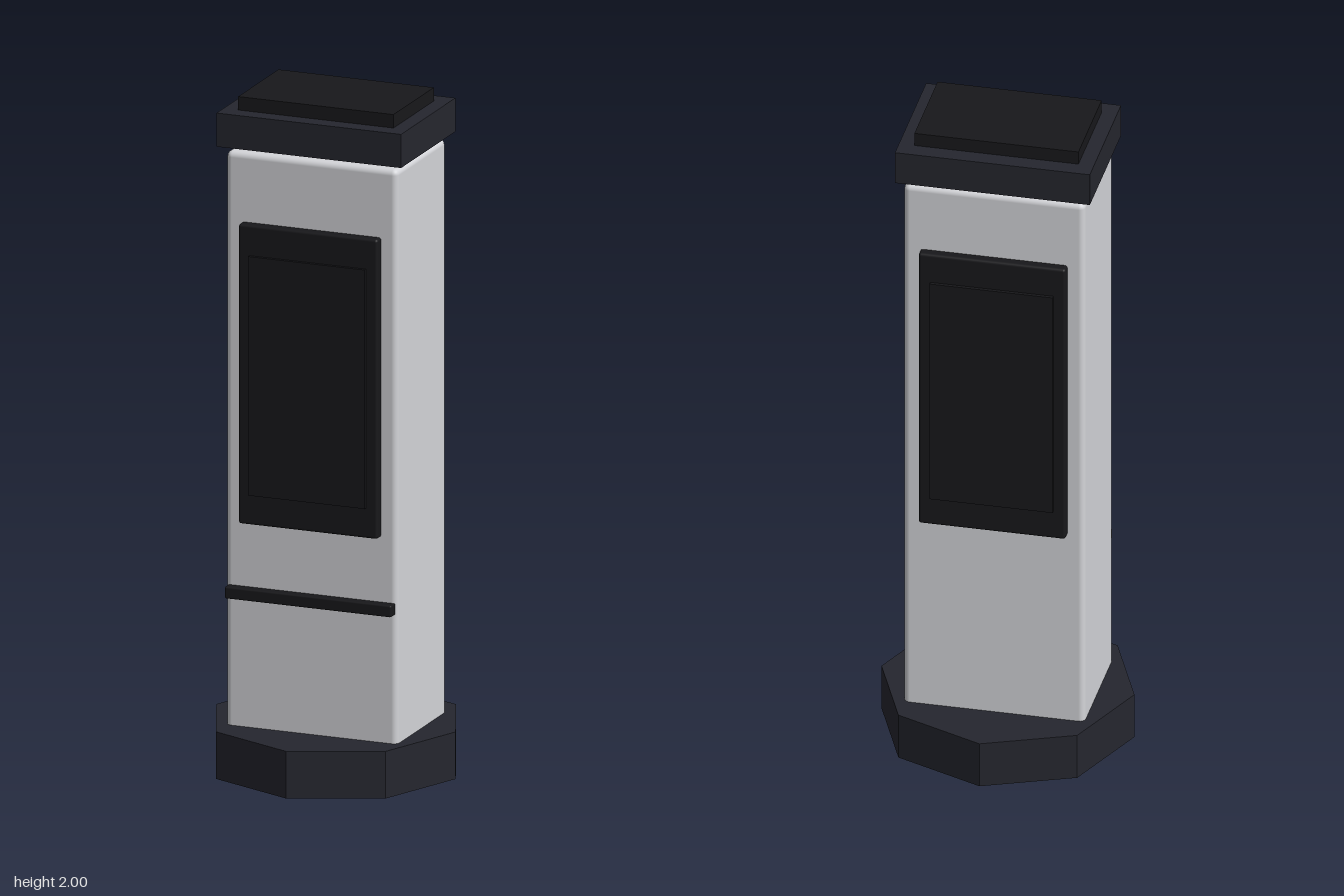
import * as THREE from 'three';
import { RoundedBoxGeometry } from 'three/addons/geometries/RoundedBoxGeometry.js';

const shell = new THREE.MeshStandardMaterial({ color: 0xd4d5d9 });
const trim = new THREE.MeshStandardMaterial({ color: 0x25262e });
const black = new THREE.MeshStandardMaterial({ color: 0x18181b });

export function createModel() {
  const model = new THREE.Group();
  model.name = 'kiosk';

  const add = (parent, name, geometry, material, y, z = 0) => {
    const mesh = new THREE.Mesh(geometry, material);
    mesh.name = name;
    mesh.position.set(0, y, z);
    parent.add(mesh);
    return mesh;
  };

  // Octagonal foot, with corners on the axes
  const foot = new THREE.CylinderGeometry(0.37, 0.37, 0.14, 8).toNonIndexed();
  foot.computeVertexNormals();
  add(model, 'base', foot, trim, 0.07);

  // Upright column with softened edges, its lower end sunk into the foot
  add(model, 'body', new RoundedBoxGeometry(0.53, 1.745, 0.365, 3, 0.018), shell, 0.9725);

  // Stepped cap, slightly clear of the column
  add(model, 'cap', new THREE.BoxGeometry(0.57, 0.1, 0.404), trim, 1.91);
  add(model, 'capPlate', new THREE.BoxGeometry(0.48, 0.04, 0.3), black, 1.98);

  // A framed screen on the front and the back
  for (const [name, turn] of [['frontDisplay', 0], ['backDisplay', Math.PI]]) {
    const display = new THREE.Group();
    display.name = name;
    display.rotation.y = turn;
    add(display, 'screenFrame', new RoundedBoxGeometry(0.43, 0.89, 0.04, 2, 0.008), black, 1.195, 0.19);
    add(display, 'screen', new THREE.BoxGeometry(0.36, 0.71, 0.03), black, 1.195, 0.205);
    model.add(display);
  }

  // Thin bar across the front, below the screen
  add(model, 'frontBar', new RoundedBoxGeometry(0.515, 0.035, 0.04, 2, 0.005), black, 0.54, 0.19);

  return model;
}
